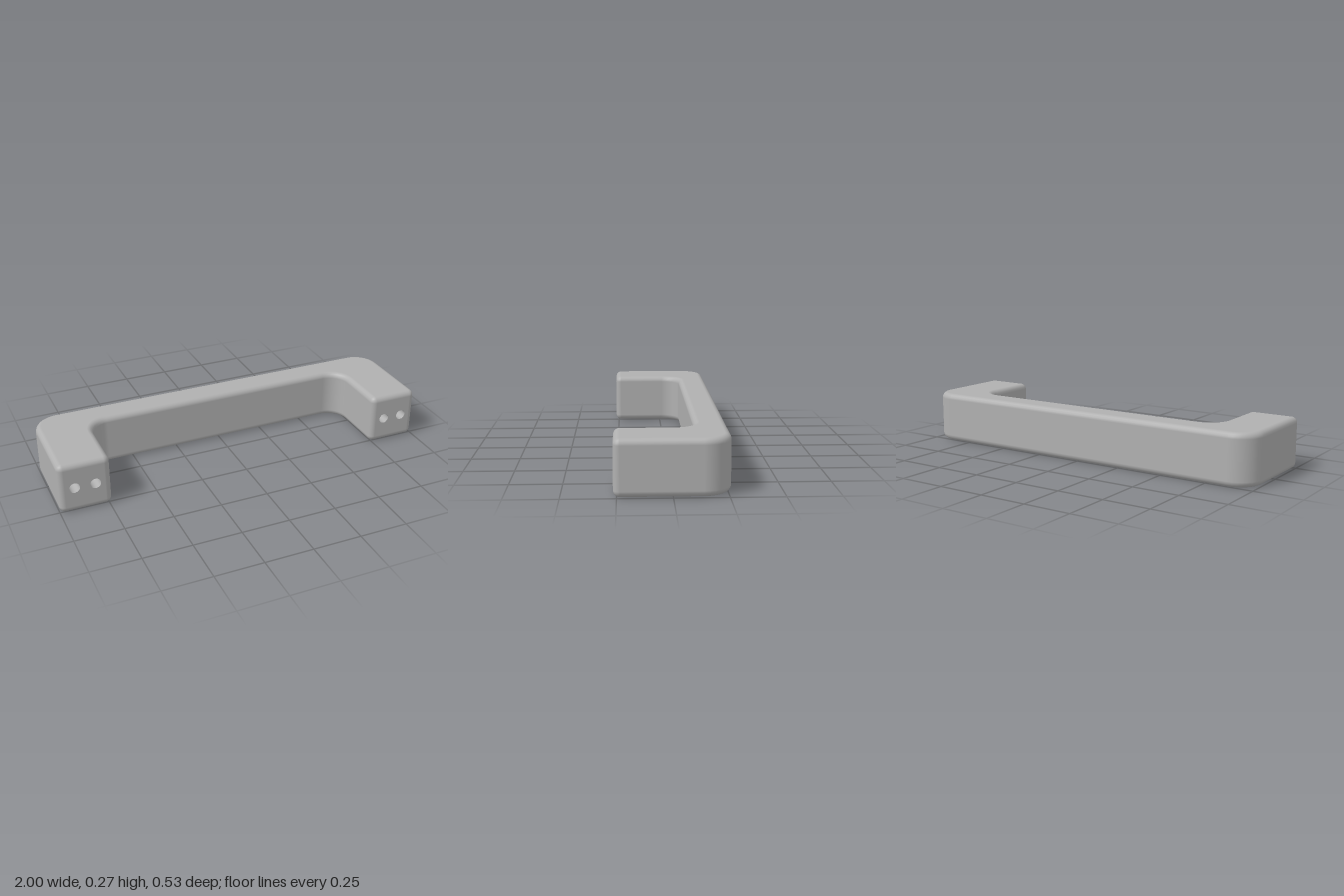
import * as THREE from 'three';

const H = 0.266, D = 0.266, R = 0.031, STEPS = 8, BEVEL = 4;
const HOLE_R = 0.027, HOLE_DEPTH = 0.15;
const PI = Math.PI;

// Plan outline: corner centre x, z, radius (negative = concave), start and end angle of the normal
const corners = [
  [-0.87, 0.13 - D, 0.13, PI, 1.5 * PI],
  [0.87, 0.13 - D, 0.13, 1.5 * PI, 2 * PI],
  [1 - R, D - R, R, 0, PI / 2],
  [0.735 + R, D - R, R, PI / 2, PI],
  [0.635, -0.01, -0.1, PI, PI / 2],
  [-0.635, -0.01, -0.1, PI / 2, 0],
  [-0.735 - R, D - R, R, 0, PI / 2],
  [-1 + R, D - R, R, PI / 2, PI],
];

function makeOutline() {
  const out = [];
  for (const [cx, cz, r, a0, a1] of corners) {
    for (let i = 0; i <= STEPS; i++) {
      const a = a0 + (a1 - a0) * i / STEPS;
      const nx = Math.cos(a), nz = Math.sin(a);
      out.push({ x: cx + r * nx, z: cz + r * nz, nx, nz });
    }
  }
  return out;
}

// Side wall with rounded upper and lower edges, left open at the two mounting faces
function wallGeometry(outline, bevel) {
  const rings = [];
  for (let k = 0; k <= BEVEL; k++) rings.push([-PI / 2 + PI / 2 * k / BEVEL, bevel]);
  for (let k = 0; k <= BEVEL; k++) rings.push([PI / 2 * k / BEVEL, H - bevel]);
  const pos = [], nor = [], idx = [], n = outline.length;
  for (const [phi, y] of rings) {
    const c = Math.cos(phi), s = Math.sin(phi), inset = bevel * (1 - c);
    for (const p of outline) {
      pos.push(p.x - p.nx * inset, y + bevel * s, p.z - p.nz * inset);
      nor.push(p.nx * c, s, p.nz * c);
    }
  }
  const openings = [3 * (STEPS + 1) - 1, 7 * (STEPS + 1) - 1];
  for (let j = 0; j < rings.length - 1; j++) {
    for (let i = 0; i < n; i++) {
      if (j === BEVEL && openings.includes(i)) continue;
      const a = j * n + i, b = j * n + (i + 1) % n;
      idx.push(a, a + n, b, b, a + n, b + n);
    }
  }
  const g = new THREE.BufferGeometry();
  g.setAttribute('position', new THREE.Float32BufferAttribute(pos, 3));
  g.setAttribute('normal', new THREE.Float32BufferAttribute(nor, 3));
  g.setIndex(idx);
  return g;
}

export function createModel() {
  const group = new THREE.Group();
  group.name = 'pullHandle';
  const metal = new THREE.MeshStandardMaterial({ color: 0xb0b0b0 });
  metal.name = 'grey metal';
  const add = (name, geometry, parent = group) => {
    const mesh = new THREE.Mesh(geometry, metal);
    mesh.name = name;
    parent.add(mesh);
    return mesh;
  };

  const bevel = 0.03;
  const outline = makeOutline();
  add('handleWall', wallGeometry(outline, bevel));

  // Flat upper and lower faces
  for (const side of [1, -1]) {
    const pts = outline.map(p => new THREE.Vector2(p.x - p.nx * bevel, -side * (p.z - p.nz * bevel)));
    const cap = new THREE.ShapeGeometry(new THREE.Shape(pts));
    cap.rotateX(-side * PI / 2);
    add(side > 0 ? 'upperFace' : 'lowerFace', cap).position.y = side > 0 ? H : 0;
  }

  // Mounting faces with two blind screw holes each
  for (const side of [1, -1]) {
    const mount = new THREE.Group();
    mount.name = side > 0 ? 'leftMount' : 'rightMount';
    group.add(mount);
    const w = (0.265 - 2 * R) / 2, cx = side * 0.8675;
    const face = new THREE.Shape([
      new THREE.Vector2(cx - w, bevel), new THREE.Vector2(cx + w, bevel),
      new THREE.Vector2(cx + w, H - bevel), new THREE.Vector2(cx - w, H - bevel),
    ]);
    for (const offset of [-0.053, 0.053]) {
      const x = cx + offset;
      face.holes.push(new THREE.Path().absarc(x, H / 2, HOLE_R, 0, 2 * PI, true));
      // Inward-facing hole wall
      const bore = new THREE.CylinderGeometry(HOLE_R, HOLE_R, HOLE_DEPTH, 24, 1, true);
      bore.scale(-1, 1, 1);
      bore.rotateX(PI / 2);
      const normals = bore.attributes.normal;
      for (let i = 0; i < normals.count; i++) {
        normals.setXYZ(i, -normals.getX(i), -normals.getY(i), -normals.getZ(i));
      }
      add('screwHole', bore, mount).position.set(x, H / 2, D - HOLE_DEPTH / 2);
      add('screwHoleBottom', new THREE.CircleGeometry(HOLE_R, 24), mount)
        .position.set(x, H / 2, D - HOLE_DEPTH);
    }
    add('mountFace', new THREE.ShapeGeometry(face, 24), mount).position.z = D;
  }
  return group;
}
